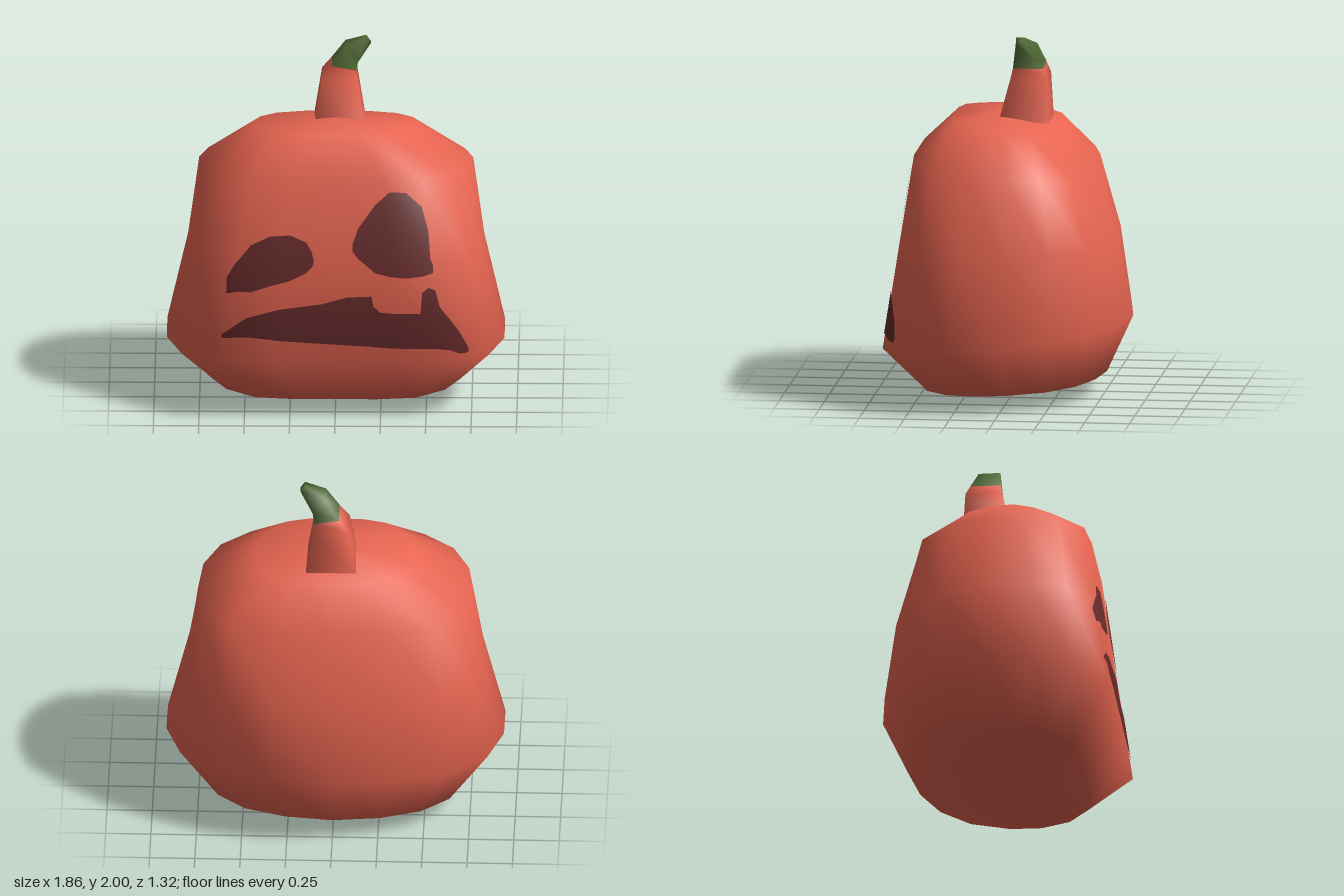
import * as THREE from 'three';

// Skin a stack of closed rings (bottom to top); optional poles close the ends.
function loft(rings, bottomPole, topPole) {
  const n = rings[0].length, pos = rings.flat(2), idx = [];
  for (let r = 0; r < rings.length - 1; r++) {
    for (let i = 0; i < n; i++) {
      const a = r * n + i, b = r * n + (i + 1) % n;
      idx.push(a, b, a + n, b, b + n, a + n);
    }
  }
  if (bottomPole) {
    const p = pos.length / 3;
    pos.push(...bottomPole);
    for (let i = 0; i < n; i++) idx.push(p, (i + 1) % n, i);
  }
  if (topPole) {
    const p = pos.length / 3, base = (rings.length - 1) * n;
    pos.push(...topPole);
    for (let i = 0; i < n; i++) idx.push(base + i, base + (i + 1) % n, p);
  }
  const geo = new THREE.BufferGeometry();
  geo.setAttribute('position', new THREE.Float32BufferAttribute(pos, 3));
  geo.setIndex(idx);
  geo.computeVertexNormals();
  return geo;
}

// Half outlines of the body seen from above, front centre round to back centre
const base = [[0, 1], [0.33, 1], [0.63, 0.95], [0.86, 0.7], [0.98, 0.36], [1, 0],
  [0.91, -0.44], [0.69, -0.75], [0.37, -0.93], [0, -1]];
const belly = [[0, 1], [0.35, 1], [0.69, 1], [0.91, 0.78], [1, 0.42], [1, 0],
  [0.91, -0.44], [0.69, -0.75], [0.37, -0.93], [0, -1]];
const waist = [[0, 1], [0.35, 1], [0.67, 0.98], [0.905, 0.74], [0.99, 0.38], [1, -0.06],
  [0.94, -0.51], [0.74, -0.82], [0.41, -0.96], [0, -1]];
const shoulder = [[0, 1], [0.35, 1], [0.63, 0.96], [0.85, 0.7], [0.97, 0.33], [1, -0.12],
  [0.94, -0.53], [0.75, -0.84], [0.42, -0.96], [0, -1]];
const crown = [[0, 1], [0.32, 0.99], [0.58, 0.9], [0.8, 0.63], [0.96, 0.3], [1, -0.06],
  [0.93, -0.5], [0.73, -0.8], [0.4, -0.95], [0, -1]];

function bodyRing([half, w, zFront, zBack, yFront, yBack]) {
  const outline = [...half, ...half.slice(1, -1).reverse().map(([x, z]) => [-x, z])];
  return outline.map(([x, z]) => {
    const t = (z + 1) / 2;
    return [x * w, yBack + (yFront - yBack) * t, zBack + (zFront - zBack) * t];
  });
}

// Four-cornered stem ring: left and right edges may differ in height
function stemRing([x0, y0, x1, y1, zBack, zFront]) {
  return [[x0, y0, zFront], [x1, y1, zFront], [x1, y1, zBack], [x0, y0, zBack]];
}

// Thin painted patch laid on the body; columns are [x, bottom, top]
function paintPatch(columns, body) {
  const steps = 4, rows = 10, pos = [], nor = [], idx = [];
  const ray = new THREE.Raycaster(), dir = new THREE.Vector3(0, 0, -1);
  const cols = [];
  columns.forEach((c, i) => {
    if (i === columns.length - 1) { cols.push(c); return; }
    for (let s = 0; s < steps; s++) {
      cols.push(c.map((v, k) => v + (columns[i + 1][k] - v) * s / steps));
    }
  });
  cols.forEach(([x, lo, hi], c) => {
    for (let r = 0; r <= rows; r++) {
      const y = lo + (hi - lo) * r / rows;
      ray.set(new THREE.Vector3(x, y, 5), dir);
      const hit = ray.intersectObject(body)[0];
      pos.push(x, y, hit.point.z + 0.006);
      nor.push(hit.normal.x, hit.normal.y, hit.normal.z);
      if (c > 0 && r > 0) {
        const d = c * (rows + 1) + r, a = d - rows - 1;
        idx.push(a - 1, d - 1, d, a - 1, d, a);
      }
    }
  });
  const geo = new THREE.BufferGeometry();
  geo.setAttribute('position', new THREE.Float32BufferAttribute(pos, 3));
  geo.setAttribute('normal', new THREE.Float32BufferAttribute(nor, 3));
  geo.setIndex(idx);
  return geo;
}

export function createModel() {
  const group = new THREE.Group();
  group.name = 'carvedPumpkin';
  const material = (name, color) => {
    const m = new THREE.MeshStandardMaterial({ color });
    m.name = name;
    return m;
  };
  const orange = material('pumpkinOrange', 0xe86551);
  const dark = material('carvingBrown', 0x692c2d);
  const green = material('stemGreen', 0x526c37);
  const add = (name, geo, mat) => {
    const mesh = new THREE.Mesh(geo, mat);
    mesh.name = name;
    group.add(mesh);
    return mesh;
  };

  // Body: outline, half width, front z, back z, front y, back y
  const body = add('body', loft([
    [base, 0.70, 0.46, -0.51, 0.06, 0.115],
    [belly, 0.93, 0.66, -0.655, 0.33, 0.43],
    [waist, 0.815, 0.595, -0.57, 0.87, 0.87],
    [shoulder, 0.755, 0.53, -0.455, 1.35, 1.27],
    [crown, 0.45, 0.33, -0.28, 1.55, 1.49],
  ].map(bodyRing), [0, 0, -0.03], [0, 1.565, 0.06]), orange);

  // Stem: left x, left y, right x, right y, back z, front z
  const stem = loft([
    [-0.12, 1.52, 0.155, 1.52, -0.2, 0.075],
    [-0.08, 1.77, 0.115, 1.77, -0.19, 0.01],
    [-0.025, 1.84, 0.11, 1.815, -0.17, 0],
    [0.05, 1.95, 0.12, 1.86, -0.13, -0.01],
    [0.165, 2.0, 0.19, 1.965, -0.07, -0.025],
  ].map(stemRing), null, [0.178, 1.983, -0.047]);
  // Two orange bands below, green above
  stem.addGroup(0, 48, 0);
  stem.addGroup(48, stem.index.count - 48, 1);
  add('stem', stem, [orange, green]);

  // Carved face
  add('rightEye', paintPatch([
    [-0.6, 0.72, 0.8], [-0.555, 0.73, 0.88], [-0.465, 0.73, 0.99],
    [-0.36, 0.765, 1.04], [-0.25, 0.795, 1.05], [-0.16, 0.84, 1.01],
    [-0.13, 0.87, 0.96], [-0.12, 0.89, 0.92],
  ], body), dark);
  add('leftEye', paintPatch([
    [0.095, 0.96, 1.0], [0.127, 0.92, 1.09], [0.22, 0.84, 1.22],
    [0.3, 0.82, 1.29], [0.39, 0.81, 1.285], [0.476, 0.82, 1.205],
    [0.513, 0.83, 1.07], [0.524, 0.835, 0.915], [0.54, 0.84, 0.88],
  ], body), dark);
  add('mouth', paintPatch([
    [-0.625, 0.475, 0.495], [-0.49, 0.48, 0.585], [-0.307, 0.46, 0.635],
    [-0.07, 0.445, 0.667], [0.063, 0.438, 0.704], [0.2, 0.43, 0.71],
    [0.21, 0.428, 0.655], [0.25, 0.425, 0.62], [0.33, 0.42, 0.614],
    [0.47, 0.418, 0.614], [0.48, 0.418, 0.73], [0.513, 0.418, 0.757],
    [0.55, 0.418, 0.746], [0.577, 0.418, 0.65], [0.635, 0.41, 0.571],
    [0.69, 0.38, 0.49], [0.735, 0.38, 0.4],
  ], body), dark);

  return group;
}
